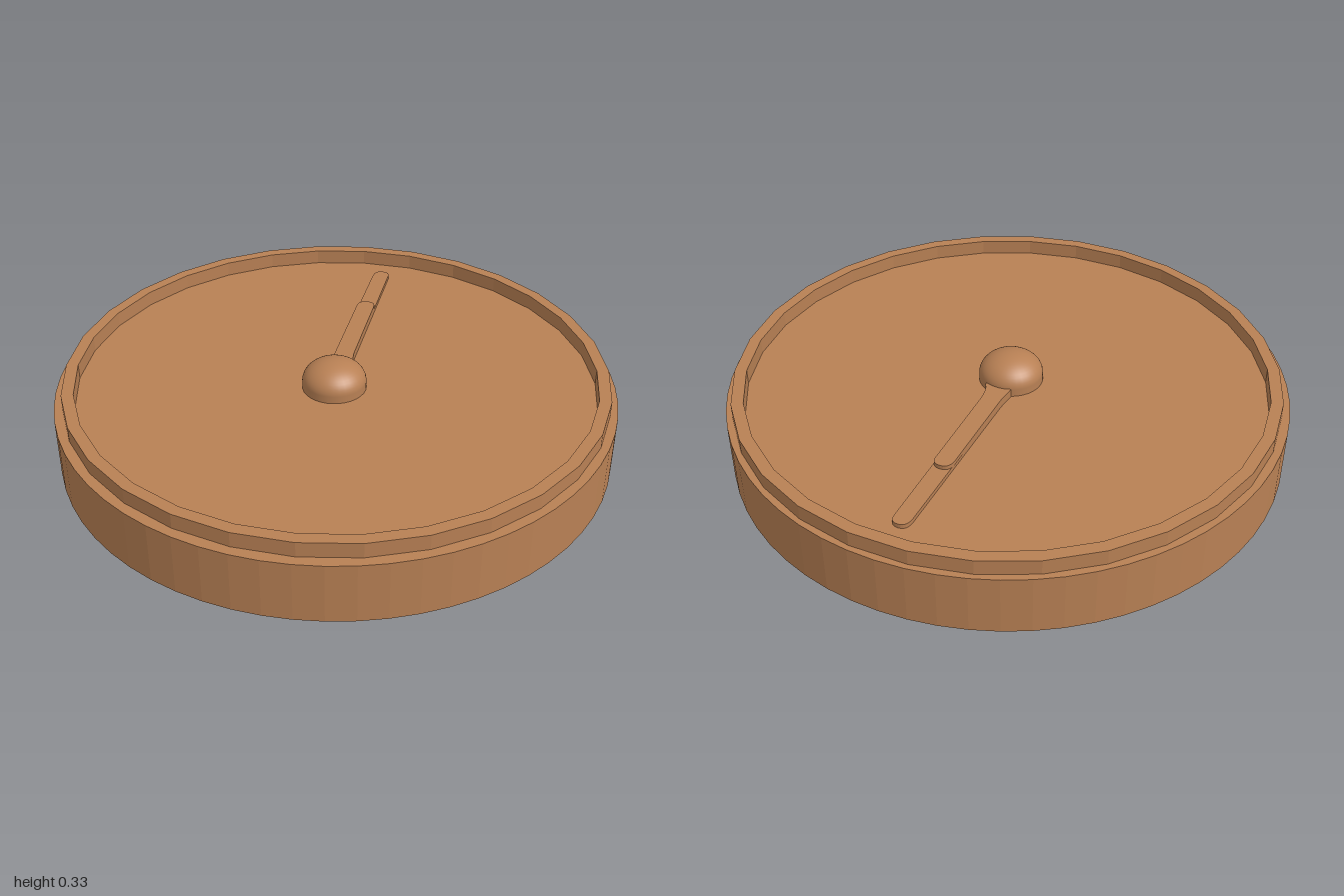
import * as THREE from 'three';

const V = (x, y) => new THREE.Vector2(x, y);

// Faceted copy of a geometry
function faceted(geometry) {
  const g = geometry.index ? geometry.toNonIndexed() : geometry;
  g.computeVertexNormals();
  return g;
}

// Flat hand pointing to -z: rounded tip, flared root
function handGeometry(length, left, right, tipLeft, thickness) {
  const mid = (tipLeft + right) / 2;
  const s = new THREE.Shape();
  s.moveTo(left - 0.012, 0.03);
  s.lineTo(right + 0.03, 0.03);
  s.lineTo(right + 0.018, 0.09);
  s.quadraticCurveTo(right + 0.002, 0.11, right, 0.17);
  s.lineTo(right, length - 0.03);
  s.quadraticCurveTo(right, length, mid, length);
  s.quadraticCurveTo(tipLeft, length, tipLeft - 0.002, length - 0.04);
  s.lineTo(left, 0.15);
  s.closePath();
  const g = new THREE.ExtrudeGeometry(s, { depth: thickness, bevelEnabled: false, curveSegments: 6 });
  return g.rotateX(-Math.PI / 2);
}

export function createModel() {
  const group = new THREE.Group();
  const brown = new THREE.MeshStandardMaterial({ color: 0xb88054 });
  brown.name = 'brown';

  const add = (name, geometry, x, y, z) => {
    const mesh = new THREE.Mesh(geometry, brown);
    mesh.name = name;
    mesh.position.set(x, y, z);
    group.add(mesh);
    return mesh;
  };

  // Round body; its top is the dial
  add('body', faceted(new THREE.CylinderGeometry(1, 1, 0.22, 64)), 0, 0.11, 0);

  // Raised rim, a vertex on the x axis
  const rim = new THREE.LatheGeometry([V(0.973, 0), V(0.973, 0.055), V(0.93, 0.055), V(0.93, 0)], 30);
  add('rim', faceted(rim.rotateY(Math.PI / 2)), 0, 0.22, -0.008);

  // Stacked hands
  add('longHand', handGeometry(0.845, -0.039, 0.03, -0.03, 0.016), 0, 0.22, 0);
  add('shortHand', handGeometry(0.555, -0.039, 0.03, -0.035, 0.016), 0, 0.235, 0);

  // Hub: short drum and flattened dome
  add('hubDrum', new THREE.CylinderGeometry(0.115, 0.115, 0.027, 32, 1, true), 0, 0.2335, 0.027);
  const dome = new THREE.SphereGeometry(0.115, 32, 12, 0, Math.PI * 2, 0, Math.PI / 2);
  add('hubDome', dome.scale(1, 0.68, 1), 0, 0.247, 0.027);

  return group;
}
